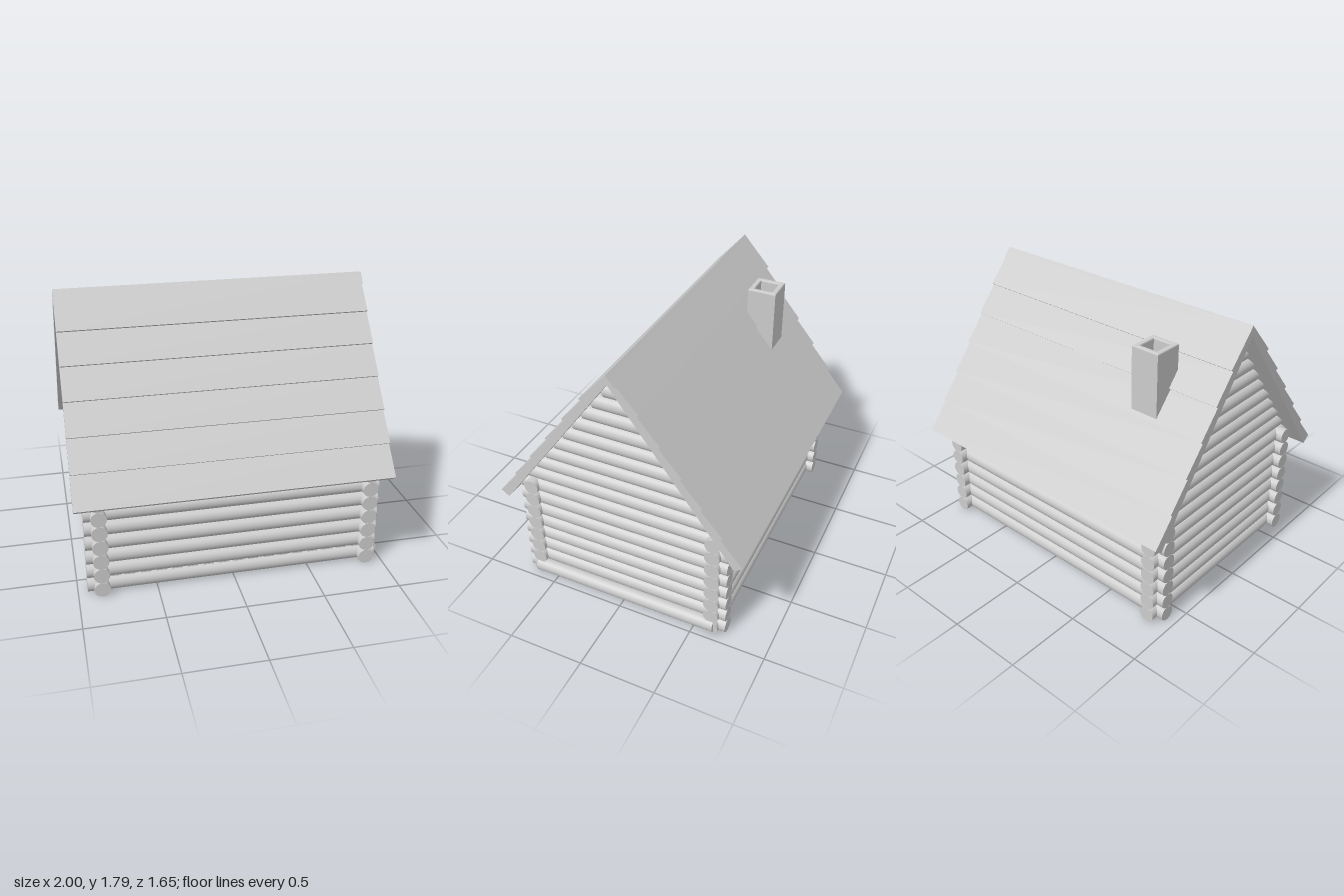
import * as THREE from 'three';

export function createModel() {
  const model = new THREE.Group();
  const grey = new THREE.MeshStandardMaterial({ color: 0xcccccc });
  grey.name = 'light grey';

  const add = (name, geometry, parent = model) => {
    const mesh = new THREE.Mesh(geometry, grey);
    mesh.name = name;
    parent.add(mesh);
    return mesh;
  };
  const group = (name) => {
    const g = new THREE.Group();
    g.name = name;
    model.add(g);
    return g;
  };

  // Logs lying along x or along z
  const logX = (name, parent, x0, x1, y, z, r = 0.05) => {
    const g = new THREE.CylinderGeometry(r, r, x1 - x0, 28).rotateZ(Math.PI / 2);
    add(name, g, parent).position.set((x0 + x1) / 2, y, z);
  };
  const logZ = (name, parent, half, x, y, r = 0.05) => {
    const g = new THREE.CylinderGeometry(r, r, half * 2, 28).rotateX(Math.PI / 2);
    add(name, g, parent).position.set(x, y, 0);
  };

  // Walls: eight courses crossing at the corners
  const walls = group('walls');
  const gableX = [-0.85, 0.885];
  for (let i = 0; i < 8; i++) {
    const y = 0.05 + i * 0.1;
    for (const z of [-0.62, 0.62]) logX('longWallLog', walls, -0.94, 0.957, y, z);
    for (const x of gableX) logZ('endWallLog', walls, 0.71, x, y);
  }

  // Gables: courses shortening towards the ridge
  const gables = group('gables');
  for (let i = 0; i < 9; i++) {
    for (const x of gableX) logZ('gableLog', gables, 0.64 - i * 0.0713, x, 0.848 + i * 0.0958, 0.049);
  }

  // Floor logs laid side by side
  const floor = group('floor');
  for (let i = 0; i < 18; i++) logZ('floorLog', floor, 0.64, 0.935 - i * 0.1, 0.067, 0.047);

  // Prism along x from a profile of [z, y] points
  const prism = (name, parent, points, x0, x1) => {
    const shape = new THREE.Shape(points.map(([z, y]) => new THREE.Vector2(-z, y)));
    const g = new THREE.ExtrudeGeometry(shape, { depth: x1 - x0, bevelEnabled: false });
    g.rotateY(Math.PI / 2);
    add(name, g, parent).position.x = x0;
  };

  // Roof: overlapping wedge boards down each slope
  const roof = group('roof');
  const slope = Math.atan2(1.07, 0.773);
  const c = Math.cos(slope), s = Math.sin(slope);
  const at = (along, out) => [along * c + out * s, 1.72 - along * s + out * c];
  const pitch = 0.2185, eave = 1.32;
  for (const side of [-1, 1]) {
    for (let i = 0; i < 6; i++) {
      const end = eave - (5 - i) * pitch;
      const start = end - pitch;
      const top = i === 0 ? [[0, 1.72], [0, 1.785]] : [at(start, 0), at(start, 0.049)];
      const profile = [...top, at(end, 0.067), at(end, 0)];
      prism('roofBoard', roof, profile.map(([z, y]) => [z * side, y]), -1, 0.99);
    }
  }
  prism('ridgeCap', roof, [[0, 1.786], [0.056, 1.72], [-0.056, 1.72]], -1, 1);

  // Chimney: square hollow shaft whose foot follows the roof
  const square = (path, h) => path.moveTo(-h, -h).lineTo(h, -h).lineTo(h, h).lineTo(-h, h).closePath();
  const ring = square(new THREE.Shape(), 0.087);
  ring.holes.push(square(new THREE.Path(), 0.07));
  const shaft = new THREE.ExtrudeGeometry(ring, {
    depth: 0.4, bevelThickness: 0.008, bevelSize: 0.008, bevelSegments: 2,
  });
  shaft.rotateX(-Math.PI / 2).translate(-0.57, 1.247, -0.332);
  const p = shaft.attributes.position;
  for (let i = 0; i < p.count; i++) {
    if (p.getY(i) < 1.4) p.setY(i, 1.775 + p.getZ(i) * 1.384);
  }
  shaft.computeVertexNormals();
  add('chimney', shaft);

  return model;
}
